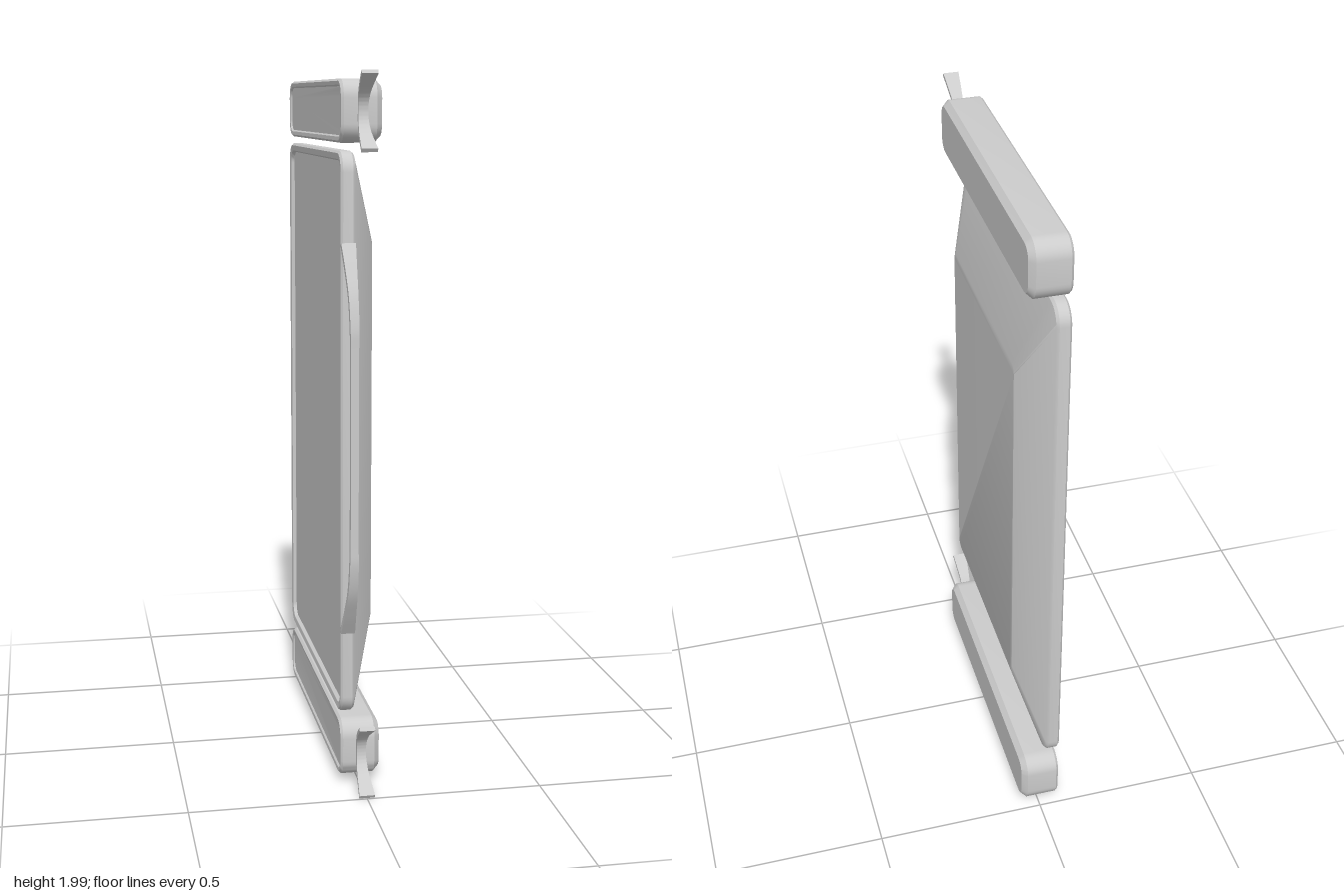
import * as THREE from 'three';
import { toCreasedNormals } from 'three/addons/utils/BufferGeometryUtils.js';

const material = new THREE.MeshStandardMaterial({ color: 0xcccccc });

// Skin a list of equal-length rings of [x, y, z] points and cap both ends.
function loft(rings, crease = 0.5) {
  const n = rings[0].length, pos = rings.flat(2), index = [];
  for (let k = 0; k < rings.length - 1; k++) {
    for (let i = 0; i < n; i++) {
      const a = k * n + i, b = k * n + (i + 1) % n;
      index.push(a, b, b + n, a, b + n, a + n);
    }
  }
  const last = (rings.length - 1) * n;
  for (let i = 1; i < n - 1; i++) {
    index.push(0, i + 1, i);
    index.push(last, last + i, last + i + 1);
  }
  const g = new THREE.BufferGeometry();
  g.setAttribute('position', new THREE.Float32BufferAttribute(pos, 3));
  g.setIndex(index);
  return toCreasedNormals(g, crease);
}

// Rounded rectangle in the plane x, running counter-clockwise seen from +x.
function roundedRing(x, z0, z1, y0, y1, r, steps = 8) {
  const corners = [[z0 + r, y1 - r], [z1 - r, y1 - r], [z1 - r, y0 + r], [z0 + r, y0 + r]];
  const ring = [];
  corners.forEach(([z, y], c) => {
    for (let i = 0; i <= steps; i++) {
      const a = (c + i / steps) * Math.PI / 2;
      ring.push([x, y + r * Math.sin(a), z - r * Math.cos(a)]);
    }
  });
  return ring;
}

// Flat strap along a curve; control points are [half width, y, z].
function strap(points, xCentre, thickness, segments) {
  const curve = new THREE.CatmullRomCurve3(points.map(p => new THREE.Vector3(...p)), false, 'centripetal');
  const rings = [];
  for (let i = 0; i <= segments; i++) {
    const p = curve.getPoint(i / segments), t = curve.getTangent(i / segments);
    const s = thickness / 2 / Math.hypot(t.y, t.z), vy = t.z * s, vz = -t.y * s;
    rings.push([[-1, -1], [1, -1], [1, 1], [-1, 1]].map(([u, v]) =>
      [xCentre + u * p.x, p.y + v * vy, p.z + v * vz]));
  }
  return loft(rings, 0.6);
}

// Extend half a path with its reflection about y = mid.
const mirrored = (half, mid) =>
  [...half, ...half.filter(p => p[1] !== mid).reverse().map(([w, y, z]) => [w, 2 * mid - y, z])];

export function createModel() {
  const group = new THREE.Group();
  const add = (name, geometry, parent = group) => {
    const mesh = new THREE.Mesh(geometry, material);
    mesh.name = name;
    parent.add(mesh);
    return mesh;
  };

  // Main panel: shallow recessed back, thin rim, sloping raised front
  const inset = (x, d, r) => roundedRing(x, -0.497 + d, 0.403 - d, 0.218 + d, 1.79 - d, r);
  add('panel', loft([
    inset(-0.046, 0.027, 0.035),
    inset(-0.056, 0.022, 0.04),
    inset(-0.058, 0.006, 0.05),
    inset(-0.052, 0, 0.055),
    inset(-0.024, 0, 0.055),
    inset(-0.017, 0.006, 0.05),
    roundedRing(0.054, -0.36, 0.27, 0.457, 1.55, 0.025),
  ], 0.45));

  // Side handle, narrower along its straight run
  add('handle', strap(mirrored([
    [0.02, 1.545, 0.4], [0.016, 1.48, 0.438], [0.013, 1.41, 0.473],
    [0.012, 1.33, 0.492], [0.011, 1.27, 0.493], [0.011, 1.005, 0.493],
  ], 1.005), -0.038, 0.015, 60));

  // End bars, each with a forked clip on the front end
  for (const [name, y] of [['upper', 1.895], ['lower', 0.112]]) {
    const end = new THREE.Group();
    end.name = name + 'End';
    group.add(end);
    const bar = (x, d, r) => roundedRing(x, -0.5 + d, 0.4 - d, y - 0.084 + d, y + 0.084 - d, r);
    add(name + 'Bar', loft([
      bar(-0.051, 0.02, 0.03),
      bar(-0.056, 0.016, 0.035),
      bar(-0.057, 0.006, 0.045),
      bar(-0.05, 0, 0.05),
      bar(0.04, 0, 0.05),
      bar(0.056, 0.016, 0.035),
    ]), end);
    add(name + 'Clip', strap(mirrored([
      [0.022, y + 0.1, 0.497], [0.019, y + 0.078, 0.462], [0.016, y + 0.055, 0.43],
      [0.014, y + 0.028, 0.411], [0.013, y, 0.406],
    ], y), 0, 0.011, 40), end);
  }
  return group;
}
